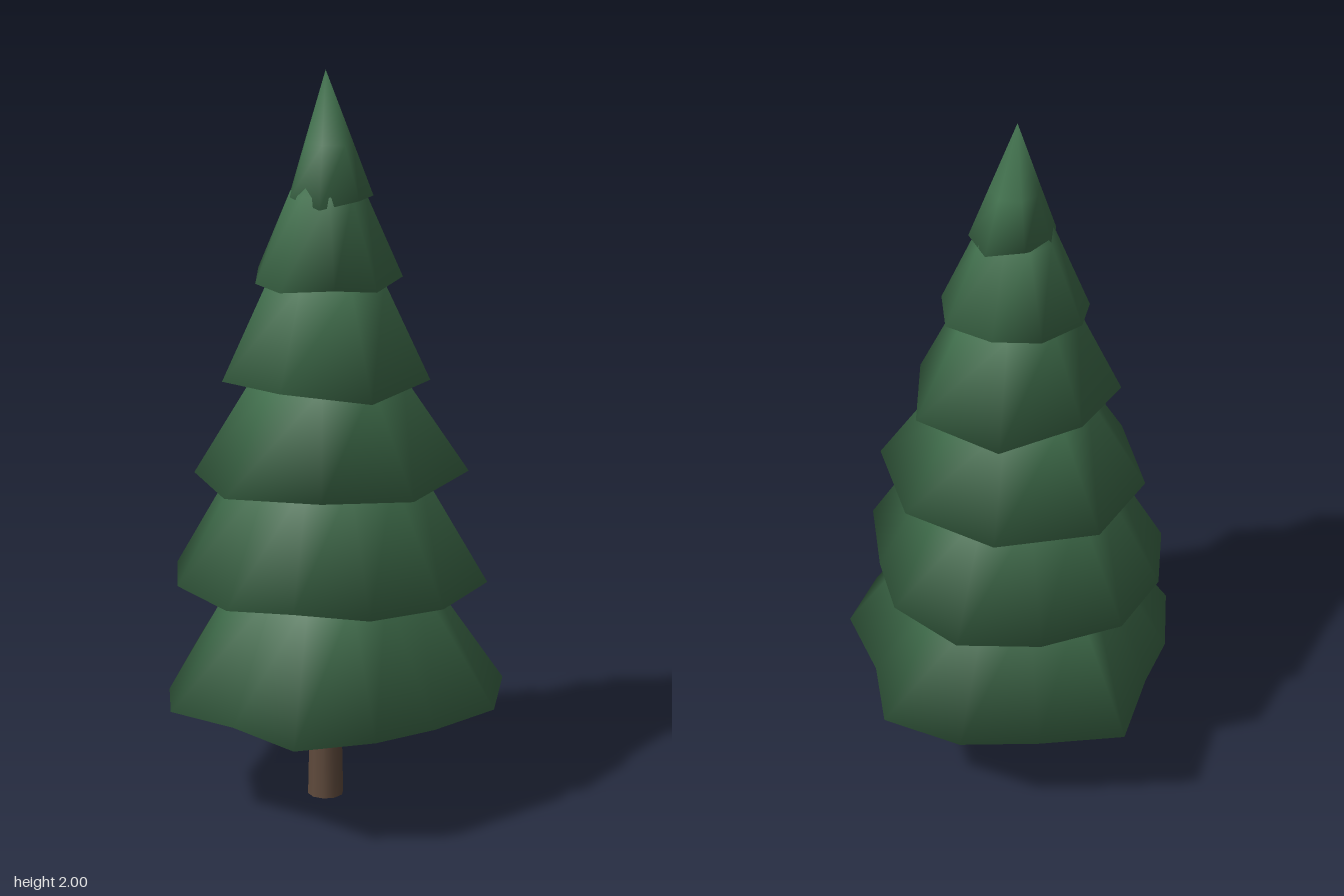
import * as THREE from 'three';

const needles = new THREE.MeshStandardMaterial({ color: 0x41704d });
needles.name = 'needle green';
const bark = new THREE.MeshStandardMaterial({ color: 0x5f4a3c });
bark.name = 'bark brown';

// the trunk axis sits slightly off the origin
const CX = 0.035, CZ = 0.033;

// point around the trunk axis; angle 0 is -x, a quarter turn is the back
const around = (angle, radius, y) => [CX - radius * Math.cos(angle), y, CZ - radius * Math.sin(angle)];

// Closed skirt of evenly spaced rim corners, with shared vertices for smooth shading:
// ragged rim, narrower upper ring, tip, and a flat underside
function tierGeometry(startDegrees, rimY, ringY, tipY, scale, radii) {
  const n = radii.length, tip = 2 * n, base = tip + 1;
  const angles = radii.map((_, i) => THREE.MathUtils.degToRad(startDegrees) + (i / n) * Math.PI * 2);
  const rim = radii.map((r, i) => {
    const tilt = 0.006 * (Math.cos(angles[i]) + Math.sin(angles[i]));
    return around(angles[i], r, rimY + tilt + 0.011 * Math.cos(2.4 * i));
  });
  const ring = radii.map((r, i) => around(angles[i], r * scale, ringY));
  const points = [...rim, ...ring, [CX, tipY, CZ], [CX, rimY + 0.01, CZ]];
  const index = [];
  for (let i = 0; i < n; i++) {
    const j = (i + 1) % n;
    index.push(j, i, n + i, j, n + i, n + j); // skirt
    index.push(n + j, n + i, tip);            // upper cone
    index.push(base, i, j);                   // underside
  }
  const geometry = new THREE.BufferGeometry();
  geometry.setAttribute('position', new THREE.Float32BufferAttribute(points.flat(), 3));
  geometry.setIndex(index);
  geometry.computeVertexNormals();
  return geometry;
}

export function createModel() {
  const tree = new THREE.Group();
  tree.name = 'pineTree';

  const trunk = new THREE.Mesh(new THREE.CylinderGeometry(0.036, 0.05, 0.6, 10), bark);
  trunk.name = 'trunk';
  trunk.position.set(CX, 0.3, CZ);
  tree.add(trunk);

  // branch tiers from the bottom up
  const addTier = (name, ...shape) => {
    const mesh = new THREE.Mesh(tierGeometry(...shape), needles);
    mesh.name = name;
    tree.add(mesh);
  };
  addTier('bottomTier', 5.7, 0.322, 0.64, 0.85, 0.56,
    [0.54, 0.465, 0.5, 0.53, 0.43, 0.49, 0.49, 0.435, 0.475, 0.47, 0.415, 0.47, 0.43, 0.425]);
  addTier('secondTier', 0, 0.638, 0.95, 1.13, 0.58,
    [0.45, 0.42, 0.45, 0.43, 0.39, 0.445, 0.42, 0.39, 0.375, 0.38, 0.415, 0.42]);
  addTier('thirdTier', 4, 0.925, 1.19, 1.38, 0.54,
    [0.38, 0.35, 0.365, 0.385, 0.335, 0.335, 0.36, 0.355]);
  addTier('fourthTier', -3, 1.19, 1.45, 1.62, 0.56,
    [0.255, 0.29, 0.305, 0.285, 0.29, 0.26, 0.28]);
  addTier('fifthTier', 21, 1.455, 1.68, 1.82, 0.52,
    [0.204, 0.175, 0.21, 0.204, 0.185, 0.207, 0.212, 0.192, 0.197]);
  addTier('topTier', 29, 1.67, 1.81, 2, 0.58,
    [0.109, 0.124, 0.126, 0.125, 0.123, 0.108, 0.102]);
  return tree;
}
